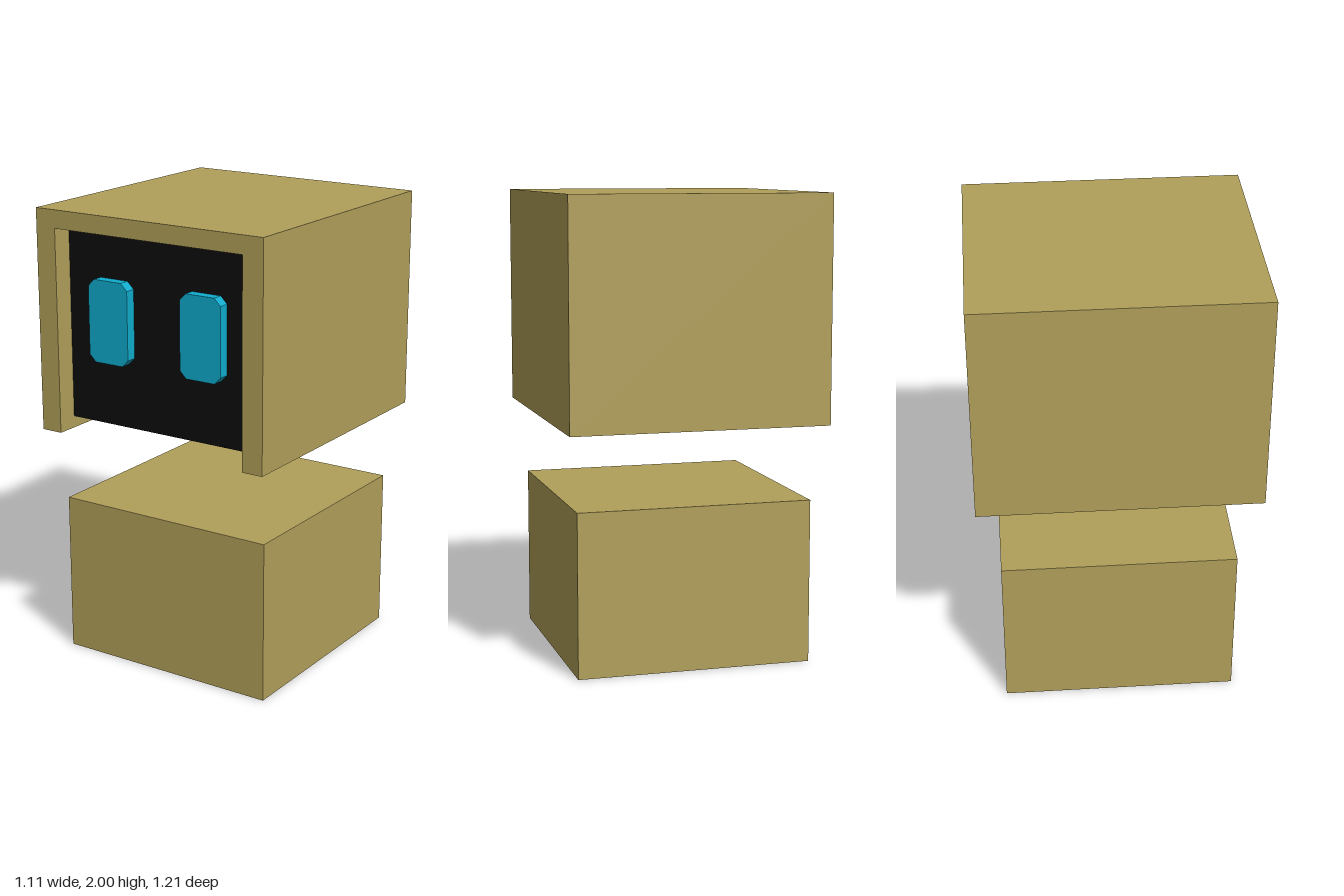
import * as THREE from 'three';

const tan = new THREE.MeshStandardMaterial({ color: 0xb1a05a });
const black = new THREE.MeshStandardMaterial({ color: 0x0c0c0c });
const cyan = new THREE.MeshStandardMaterial({ color: 0x0faccd });

// Box given by its minimum and maximum corners
function box(name, material, min, max) {
  const size = max.map((v, i) => v - min[i]);
  const mesh = new THREE.Mesh(new THREE.BoxGeometry(...size), material);
  mesh.position.set(...max.map((v, i) => (v + min[i]) / 2));
  mesh.name = name;
  return mesh;
}

// Flat outline extruded from z0 to z1
function slab(name, material, points, z0, z1) {
  const shape = new THREE.Shape(points.map(([x, y]) => new THREE.Vector2(x, y)));
  const geometry = new THREE.ExtrudeGeometry(shape, { depth: z1 - z0, bevelEnabled: false });
  const mesh = new THREE.Mesh(geometry, material);
  mesh.position.z = z0;
  mesh.name = name;
  return mesh;
}

export function createModel() {
  const model = new THREE.Group();
  model.name = 'robot';

  model.add(box('body', tan, [-0.507, 0, -0.507], [0.507, 0.705, 0.507]));

  // Floating head: a hood open at the front and bottom, with a thick back
  const head = new THREE.Group();
  head.name = 'head';
  const w = 0.557, inner = 0.461, bottom = 1.037, top = 2, roof = 1.922;
  const front = 0.603, backWall = -0.37;
  head.add(slab('headHood', tan, [
    [-w, bottom], [-inner, bottom], [-inner, roof], [inner, roof],
    [inner, bottom], [w, bottom], [w, top], [-w, top],
  ], backWall, front));
  head.add(box('headBack', tan, [-w, bottom, -front], [w, top, backWall]));

  // Dark face block filling the hood, set back from its rim
  const faceZ = 0.51;
  head.add(box('face', black, [-inner, 1.088, backWall], [inner, roof, faceZ]));

  // Eyes with clipped corners
  const ex = 0.099, ey = 0.177, c = 0.03;
  for (const [name, side] of [['leftEye', 1], ['rightEye', -1]]) {
    const eye = slab(name, cyan, [
      [-ex + c, -ey], [ex - c, -ey], [ex, -ey + c], [ex, ey - c],
      [ex - c, ey], [-ex + c, ey], [-ex, ey - c], [-ex, -ey + c],
    ], faceZ - 0.02, faceZ + 0.047);
    eye.position.x = side * 0.23;
    eye.position.y = 1.543;
    head.add(eye);
  }
  model.add(head);
  return model;
}
